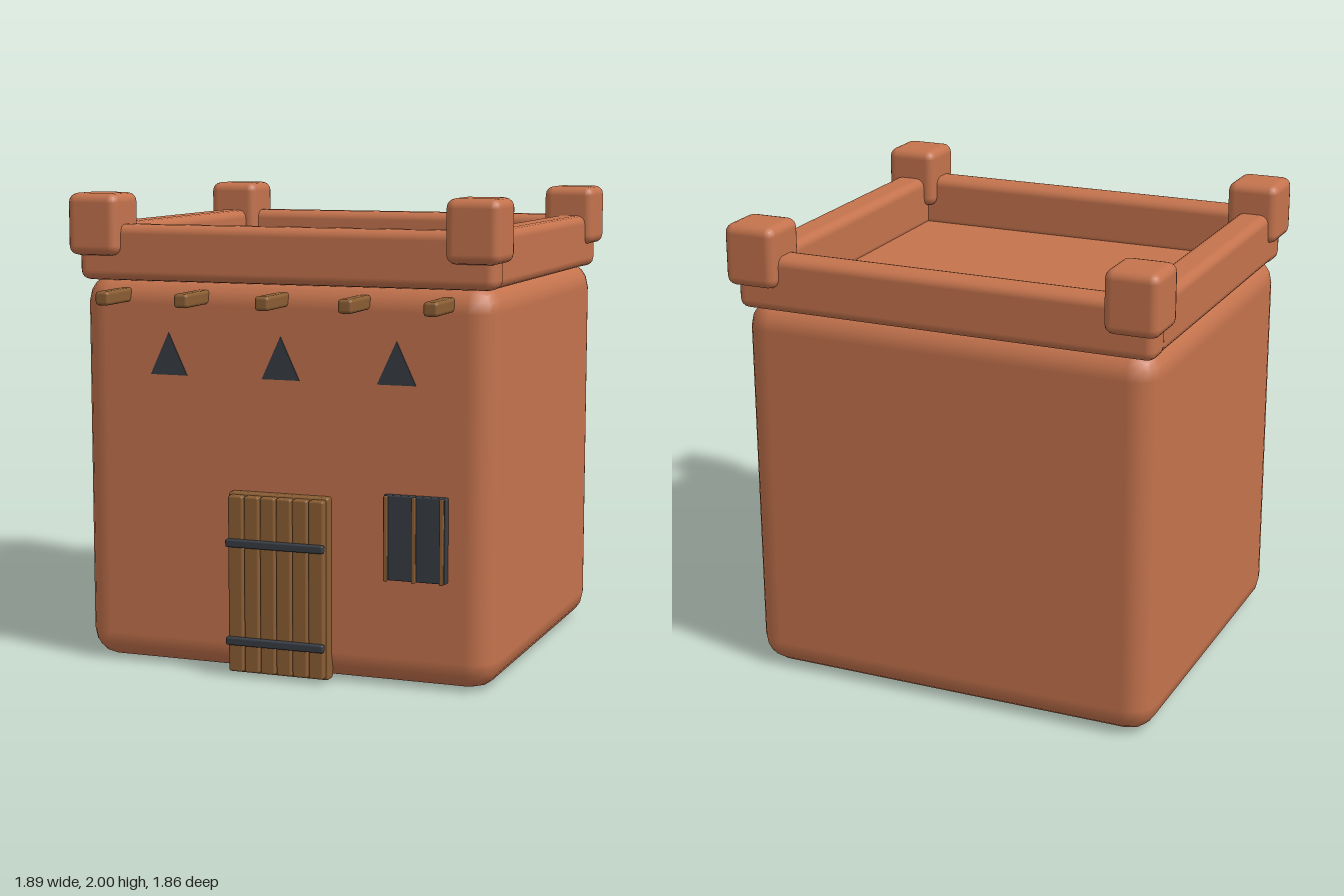
import * as THREE from 'three';
import { RoundedBoxGeometry } from 'three/addons/geometries/RoundedBoxGeometry.js';

const material = (name, color) => Object.assign(new THREE.MeshStandardMaterial({ color }), { name });

export function createModel() {
  const clay = material('clay', 0xc4734d);
  const wood = material('wood', 0x8b5e34);
  const dark = material('dark iron', 0x383d45);
  const model = new THREE.Group();
  model.name = 'adobeHouse';

  // Rounded block given by its extents on each axis
  function block(name, mat, [x0, x1], [y0, y1], [z0, z1], radius, parent = model) {
    const geometry = new RoundedBoxGeometry(x1 - x0, y1 - y0, z1 - z0, 2, radius);
    const mesh = new THREE.Mesh(geometry, mat);
    mesh.position.set((x0 + x1) / 2, (y0 + y1) / 2, (z0 + z1) / 2);
    mesh.name = name;
    parent.add(mesh);
    return mesh;
  }

  // Main walls and flat roof
  block('body', clay, [-0.915, 0.915], [0, 1.66], [-0.87, 0.725], 0.12);

  // Parapet around the roof
  block('frontParapet', clay, [-0.915, 0.915], [1.635, 1.87], [0.595, 0.735], 0.04);
  block('backParapet', clay, [-0.915, 0.915], [1.635, 1.87], [-0.888, -0.748], 0.04);
  for (const side of [-1, 1]) {
    const xs = [side * 0.76, side * 0.91].sort((a, b) => a - b);
    block('sideParapet', clay, xs, [1.635, 1.87], [-0.86, 0.71], 0.04);
    // Corner posts
    const px = [side * 0.715, side * 0.945].sort((a, b) => a - b);
    block('frontCornerPost', clay, px, [1.74, 2], [0.55, 0.782], 0.04);
    block('backCornerPost', clay, px, [1.74, 2], [-0.932, -0.7], 0.04);
  }

  // Roof beam ends
  for (let i = -2; i <= 2; i++) {
    const x = i * 0.355;
    block('roofBeam', wood, [x - 0.031, x + 0.031], [1.547, 1.605], [0.6, 0.93], 0.014);
  }

  // Triangular vents: thin plates on the front wall
  const triangle = new THREE.Shape([
    new THREE.Vector2(-0.083, 1.247),
    new THREE.Vector2(0.083, 1.247),
    new THREE.Vector2(0, 1.425),
  ]);
  const ventGeometry = new THREE.ExtrudeGeometry(triangle, { depth: 0.008, bevelEnabled: false });
  for (const x of [-0.503, 0, 0.503]) {
    const vent = new THREE.Mesh(ventGeometry, dark);
    vent.name = 'vent';
    vent.position.set(x, 0, 0.722);
    model.add(vent);
  }

  // Plank door with two iron straps
  const door = new THREE.Group();
  door.name = 'door';
  model.add(door);
  block('doorBacking', wood, [-0.222, 0.222], [0.008, 0.775], [0.7, 0.762], 0.012, door);
  for (let i = 0; i < 6; i++) {
    const x = (i - 2.5) * 0.0715;
    block('doorPlank', wood, [x - 0.0335, x + 0.0335], [0.018, 0.765], [0.74, 0.795], 0.01, door);
  }
  for (const y of [0.152, 0.567]) {
    block('doorStrap', dark, [-0.217, 0.217], [y - 0.017, y + 0.017], [0.787, 0.815], 0.008, door);
  }

  // Window with a dark pane and upright wooden bars
  const windowGroup = new THREE.Group();
  windowGroup.name = 'window';
  model.add(windowGroup);
  block('windowPane', dark, [0.457, 0.725], [0.45, 0.802], [0.7, 0.752], 0.006, windowGroup);
  for (const x of [0.473, 0.592, 0.711]) {
    block('windowBar', wood, [x - 0.009, x + 0.009], [0.45, 0.802], [0.759, 0.777], 0.005, windowGroup);
  }

  return model;
}
